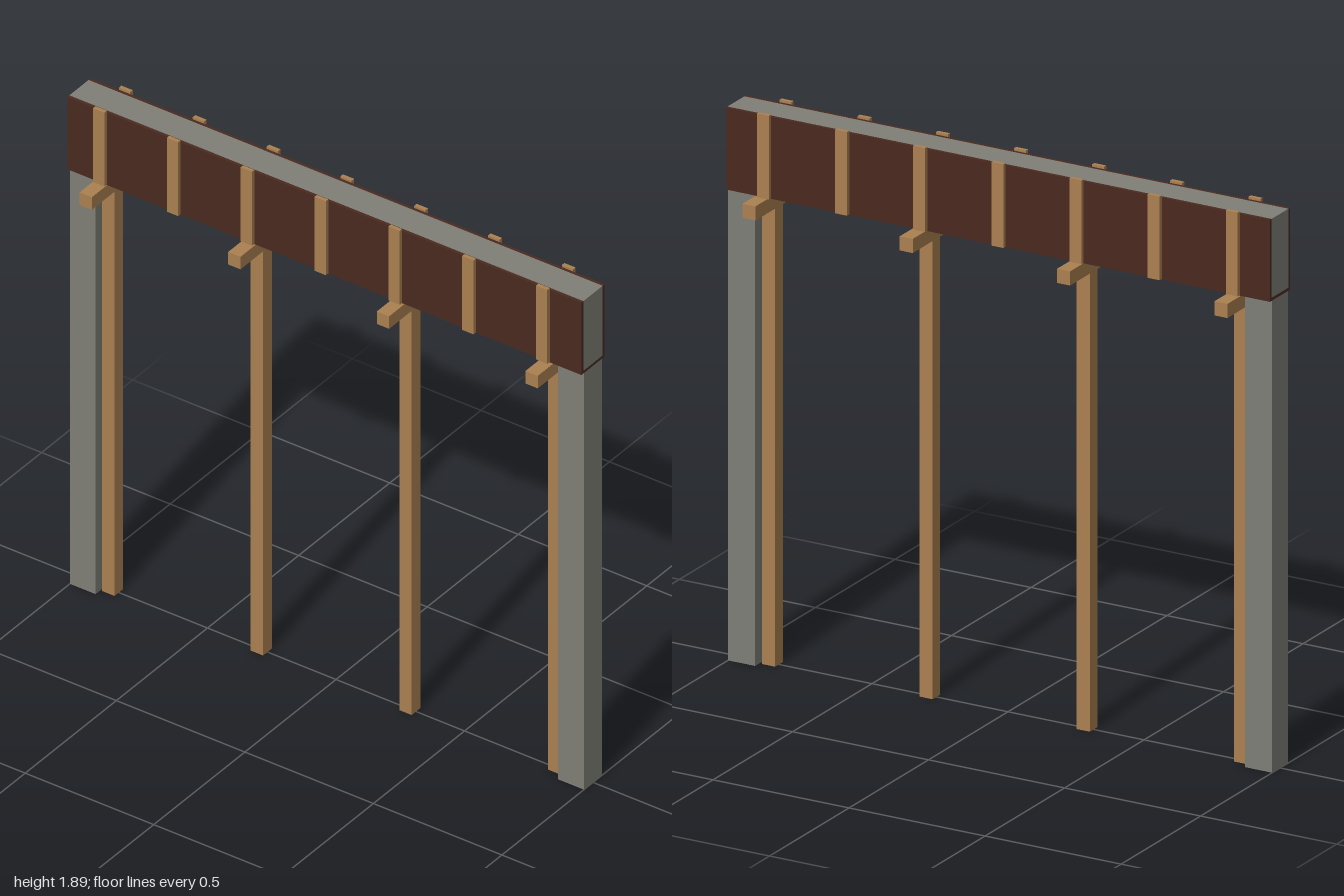
import * as THREE from 'three';

export function createModel() {
  const model = new THREE.Group();
  model.name = 'beamFormwork';

  const material = (name, color) => {
    const m = new THREE.MeshStandardMaterial({ color });
    m.name = name;
    return m;
  };
  const concrete = material('concrete grey', 0x7f7f77);
  const plywood = material('dark plywood', 0x4a2a20);
  const timber = material('timber', 0xab8051);

  // Box given by its minimum and maximum corners
  const box = (name, mat, [x0, y0, z0], [x1, y1, z1]) => {
    const mesh = new THREE.Mesh(new THREE.BoxGeometry(x1 - x0, y1 - y0, z1 - z0), mat);
    mesh.position.set((x0 + x1) / 2, (y0 + y1) / 2, (z0 + z1) / 2);
    mesh.name = name;
    model.add(mesh);
  };

  // Concrete columns and the beam they carry
  box('rightColumn', concrete, [-1, 0, -0.05], [-0.9, 1.602, 0.05]);
  box('leftColumn', concrete, [0.9, 0, -0.05], [1, 1.602, 0.05]);
  box('beam', concrete, [-1, 1.612, -0.053], [1, 1.88, 0.053]);

  // Plywood trough: bottom board and two side boards
  box('bottomBoard', plywood, [-1, 1.602, -0.053], [1, 1.612, 0.053]);
  box('frontBoard', plywood, [-1, 1.602, 0.053], [1, 1.88, 0.064]);
  box('backBoard', plywood, [-1, 1.602, -0.064], [1, 1.88, -0.053]);

  // Upright battens on both side boards
  for (let i = 0; i < 7; i++) {
    const x = -0.868 + i * 0.2872;
    box('frontBatten', timber, [x - 0.022, 1.604, 0.064], [x + 0.022, 1.888, 0.078]);
    box('backBatten', timber, [x - 0.022, 1.604, -0.078], [x + 0.022, 1.888, -0.064]);
  }

  // Props, each with a crosspiece under the trough
  for (let i = 0; i < 4; i++) {
    const x = -0.869 + i * 0.5783;
    box('prop', timber, [x - 0.024, 0, -0.024], [x + 0.024, 1.554, 0.024]);
    box('crosspiece', timber, [x - 0.024, 1.554, -0.148], [x + 0.024, 1.602, 0.148]);
  }

  return model;
}
